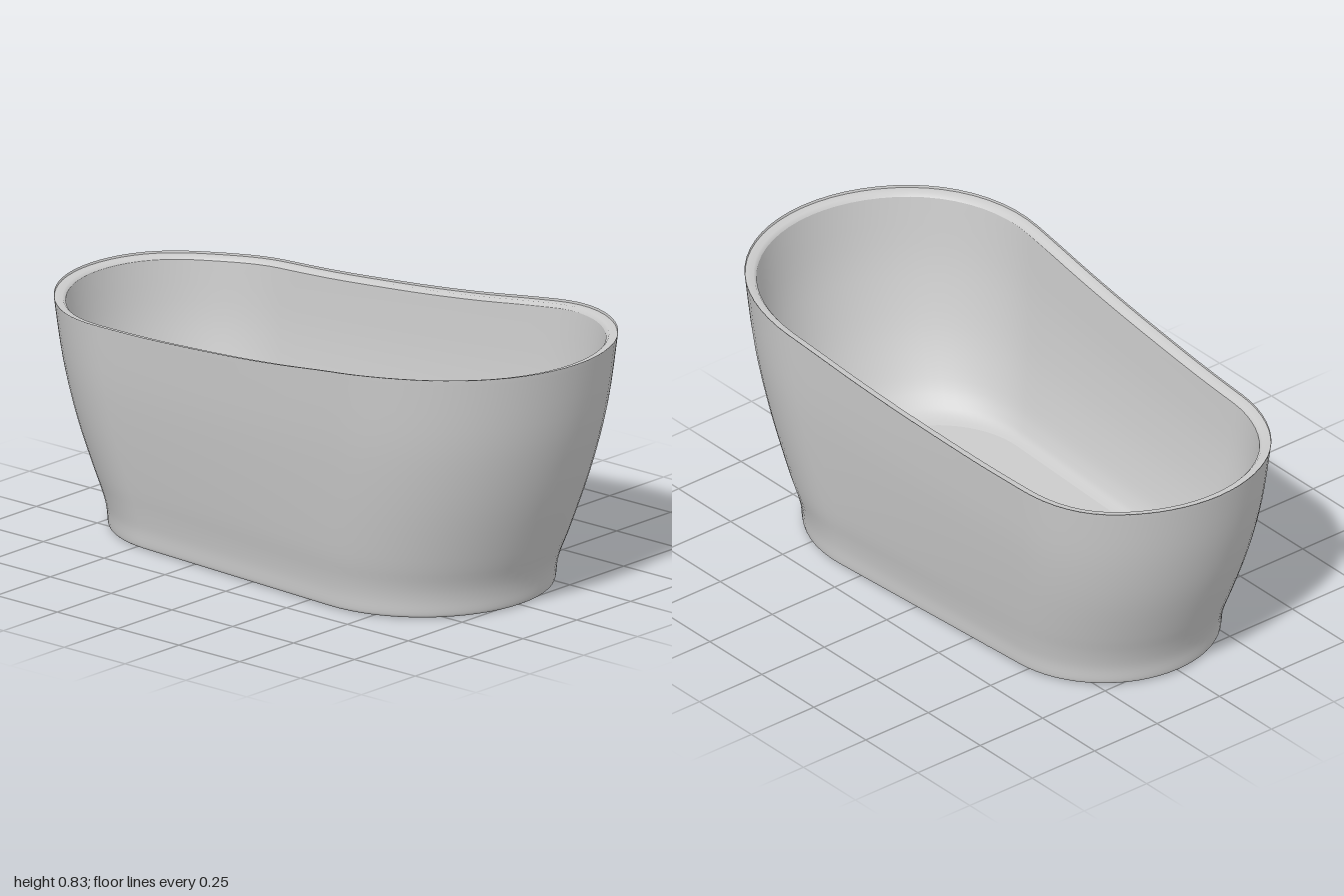
import * as THREE from 'three';

const RIM = 0.82, FLOOR = 0.15;
const material = new THREE.MeshStandardMaterial({ color: 0xcccccc });

// Rim height along the tub, from the back end (z = -1) to the front end (z = 1)
const rimLine = new THREE.SplineCurve(
  [0.72, 0.708, 0.712, 0.718, 0.73, 0.745, 0.765, 0.79, 0.811, 0.82, 0.82]
    .map((y, i) => new THREE.Vector2(-1 + i * 0.2, y)));
const rimHeight = z => rimLine.getPoint(THREE.MathUtils.clamp((z + 1) / 2, 0, 1)).y;

// Tapered oval: two end circles joined by their tangents.
// Each section is [height, front radius, front end z, back radius, back end z].
const ARC = 32, SIDE = 16;
function oval([, rF, zF, rB, zB]) {
  const cF = zF - rF, cB = zB + rB;
  const th = Math.acos((rB - rF) / (cF - cB));
  const at = (c, r, a) => [r * Math.sin(a), c + r * Math.cos(a)];
  const pts = [];
  const arc = (c, r, a0, a1) => {
    for (let i = 0; i < ARC; i++) pts.push(at(c, r, a0 + (a1 - a0) * i / ARC));
  };
  const side = (p, q) => {
    for (let i = 0; i < SIDE; i++) {
      const t = i / SIDE;
      pts.push([p[0] + (q[0] - p[0]) * t, p[1] + (q[1] - p[1]) * t]);
    }
  };
  arc(cF, rF, -th, th);
  side(at(cF, rF, th), at(cB, rB, th));
  arc(cB, rB, th, 2 * Math.PI - th);
  side(at(cB, rB, -th), at(cF, rF, -th));
  return pts;
}

const rimOuter = [RIM, 0.5, 1, 0.44, -1];
const rimDrop = oval(rimOuter).map(p => rimHeight(p[1]) - RIM);

// Skin a list of sections; the upper sections follow the sloping rim
function skin(name, sections, steps = 1) {
  const rows = [];
  const columns = [0, 1, 2, 3, 4].map(k =>
    new THREE.SplineCurve(sections.map((s, i) => new THREE.Vector2(i, s[k]))));
  const count = (sections.length - 1) * steps;
  for (let i = 0; i <= count; i++) rows.push(columns.map(c => c.getPoint(i / count).y));

  const pos = [], index = [], n = rimDrop.length;
  rows.forEach((row, j) => {
    const w = Math.max(0, (row[0] - FLOOR) / (RIM - FLOOR));
    oval(row).forEach(([x, z], i) => {
      pos.push(x, row[0] + rimDrop[i] * w, z);
      if (j === 0) return;
      const k = (i + 1) % n, a = (j - 1) * n, b = j * n;
      index.push(a + i, a + k, b + k, a + i, b + k, b + i);
    });
  });
  const g = new THREE.BufferGeometry();
  g.setAttribute('position', new THREE.Float32BufferAttribute(pos, 3));
  g.setIndex(index);
  g.computeVertexNormals();
  const mesh = new THREE.Mesh(g, material);
  mesh.name = name;
  return mesh;
}

function box(name, w, h, d, x, y, z) {
  const mesh = new THREE.Mesh(new THREE.BoxGeometry(w, h, d), material);
  mesh.position.set(x, y, z);
  mesh.name = name;
  return mesh;
}

export function createModel() {
  const tub = new THREE.Group();
  tub.name = 'bathtub';

  // Outer wall with a softly rounded foot
  tub.add(skin('outerWall', [
    [0, 0.395, 0.76, 0.345, -0.79],
    [0.004, 0.405, 0.771, 0.355, -0.801],
    [0.015, 0.41, 0.777, 0.36, -0.807],
    [0.06, 0.412, 0.783, 0.362, -0.812],
    [0.11, 0.419, 0.797, 0.369, -0.826],
    [0.2, 0.437, 0.835, 0.383, -0.86],
    [0.4, 0.465, 0.91, 0.408, -0.925],
    [0.6, 0.487, 0.966, 0.428, -0.97],
    [0.81, 0.5, 1, 0.44, -1],
    rimOuter,
  ], 4));

  // Narrow flat rim with a small inner bevel
  tub.add(skin('rim', [
    rimOuter,
    [RIM, 0.474, 0.974, 0.414, -0.974],
    [0.808, 0.465, 0.965, 0.405, -0.965],
  ]));

  // Basin wall, filleted into the floor
  tub.add(skin('basinWall', [
    [0.808, 0.465, 0.965, 0.405, -0.965],
    [0.6, 0.448, 0.927, 0.392, -0.938],
    [0.4, 0.417, 0.862, 0.366, -0.89],
    [0.25, 0.378, 0.785, 0.332, -0.838],
    [0.185, 0.35, 0.73, 0.307, -0.803],
    [0.16, 0.33, 0.692, 0.288, -0.78],
    [FLOOR, 0.305, 0.66, 0.265, -0.752],
  ], 4));
  tub.add(skin('basinFloor', [
    [FLOOR, 0.305, 0.66, 0.265, -0.752],
    [FLOOR, 0.001, 0.356, 0.001, -0.488],
  ]));

  // Underside: basin bottom, cavity between the walls, and base lip
  tub.add(skin('basinUnderside', [
    [0.13, 0.001, 0.356, 0.001, -0.488],
    [0.13, 0.32, 0.675, 0.28, -0.767],
  ]));
  tub.add(skin('basinBack', [
    [0.13, 0.32, 0.675, 0.28, -0.767],
    [0.19, 0.365, 0.75, 0.32, -0.82],
    [0.4, 0.43, 0.875, 0.376, -0.9],
    [0.55, 0.455, 0.93, 0.398, -0.94],
  ], 3));
  tub.add(skin('shellInside', [
    [0.55, 0.455, 0.93, 0.398, -0.94],
    [0.2, 0.412, 0.81, 0.358, -0.835],
    [0.07, 0.387, 0.758, 0.337, -0.787],
    [0, 0.38, 0.745, 0.33, -0.775],
  ], 3));
  tub.add(skin('baseLip', [
    [0, 0.38, 0.745, 0.33, -0.775],
    [0, 0.395, 0.76, 0.345, -0.79],
  ]));

  // Support frame below the basin
  for (const [z, width] of [[0.3, 0.77], [-0.28, 0.73]]) {
    tub.add(box('crossBar', width, 0.015, 0.1, 0, 0.012, z));
    for (const s of [-1, 1])
      tub.add(box('frameBlock', 0.04, 0.11, 0.06, s * 0.2, 0.075, z));
  }
  for (const z of [0.46, -0.53])
    for (const s of [-1, 1])
      tub.add(box('supportRib', 0.44, 0.015, 0.01, 0, 0.124, z + s * 0.018));

  // Drain: dished collar, plug and a ring of small openings
  const drain = new THREE.Group();
  drain.name = 'drain';
  drain.position.set(0, FLOOR, -0.64);
  const collar = [[0.056, 0], [0.052, 0.004], [0.042, 0.005], [0.034, 0.002], [0.024, 0.002],
    [0.022, 0.006], [0.012, 0.008], [0, 0.008]];
  const cup = new THREE.Mesh(new THREE.LatheGeometry(
    collar.map(([r, y]) => new THREE.Vector2(r, y)), 32), material);
  cup.name = 'drainCollar';
  drain.add(cup);
  for (let i = 0; i < 8; i++) {
    const a = i * Math.PI / 4;
    const hole = new THREE.Mesh(new THREE.TorusGeometry(0.005, 0.0015, 6, 12), material);
    hole.rotation.x = Math.PI / 2;
    hole.position.set(0.029 * Math.cos(a), 0.003, 0.029 * Math.sin(a));
    hole.name = 'drainOpening';
    drain.add(hole);
  }
  tub.add(drain);
  return tub;
}
